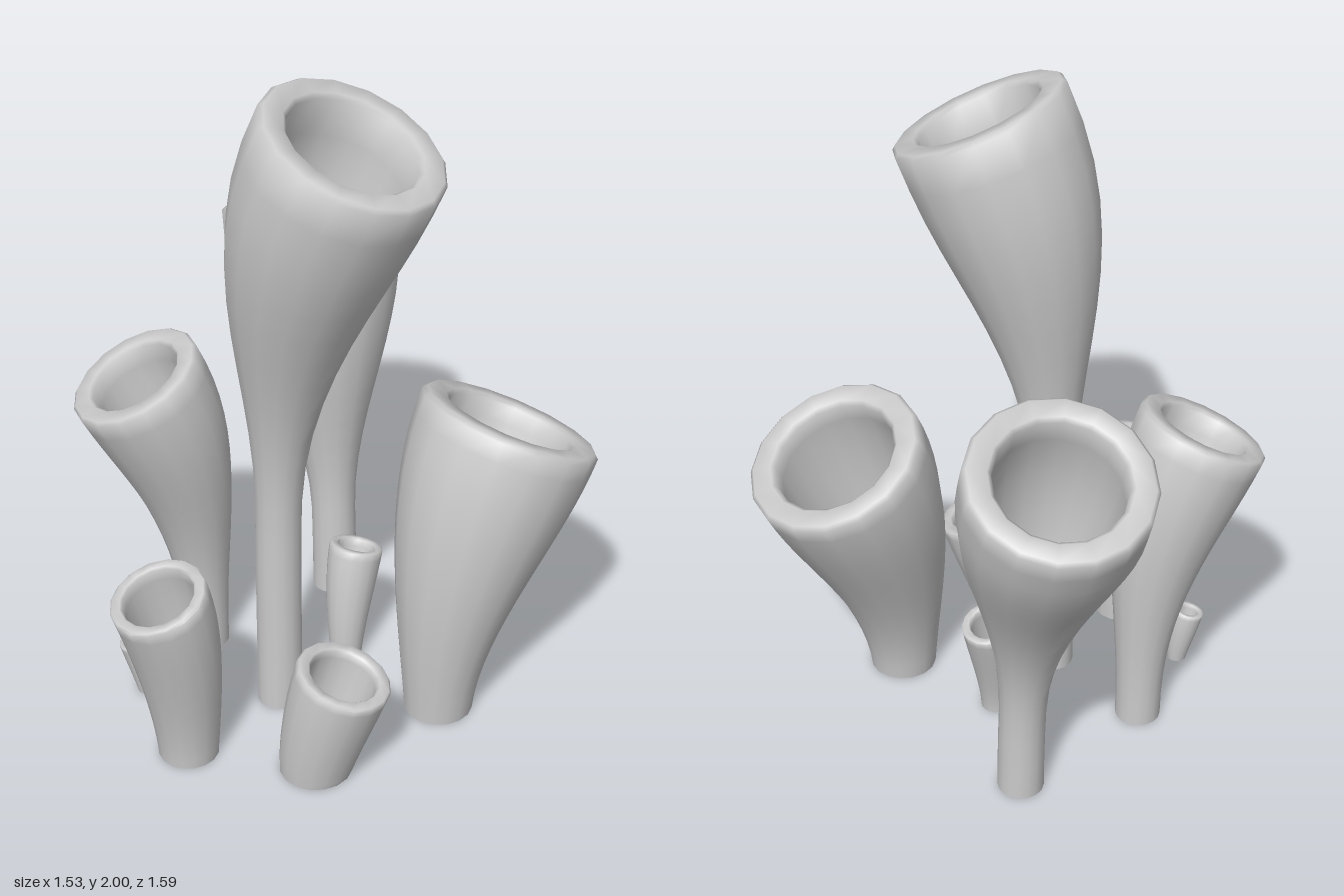
import * as THREE from 'three';
import { toCreasedNormals } from 'three/addons/utils/BufferGeometryUtils.js';

const SIDES = 16;
const STEPS = 16;

// Hollow flared tube: rises from its base, then bends so the mouth faces along `facing`
function tubeGeometry({ base, mouth, facing, lift, rBase, rMouth, inner, flare }) {
  const start = new THREE.Vector3(base[0], 0, base[1]);
  const end = new THREE.Vector3(...mouth);
  const h = end.y;
  const path = new THREE.CubicBezierCurve3(
    start,
    start.clone().setY(lift * h),
    end.clone().addScaledVector(new THREE.Vector3(...facing).normalize(), -0.33 * h),
    end
  );
  const radius = (t) => THREE.MathUtils.lerp(rBase, rMouth, THREE.MathUtils.smoothstep(t, ...flare));

  // Closed wall section as [t, radius]: up the outside, over the softened lip, down the inside
  const bevel = 0.15 * rMouth * (1 - inner);
  const lipT = 1 - bevel / h;
  const section = [];
  for (let i = 0; i <= STEPS; i++) {
    const t = (lipT * i) / STEPS;
    section.push([t, radius(t)]);
  }
  section.push([1, rMouth - bevel], [1, rMouth * inner + bevel]);
  for (let i = STEPS; i >= 0; i--) {
    const t = (lipT * i) / STEPS;
    section.push([t, radius(t) * inner]);
  }

  const positions = [];
  const index = [];
  section.forEach(([t, r], i) => {
    const c = path.getPoint(t);
    const n = path.getTangent(t);
    const u = new THREE.Vector3(1, 0, 0).addScaledVector(n, -n.x).normalize();
    const v = n.clone().cross(u);
    const next = (i + 1) % section.length;
    for (let j = 0; j < SIDES; j++) {
      const a = (j / SIDES) * Math.PI * 2;
      const p = c.clone().addScaledVector(u, r * Math.cos(a)).addScaledVector(v, r * Math.sin(a));
      positions.push(p.x, p.y, p.z);
      const k = (j + 1) % SIDES;
      const A = i * SIDES + j, B = i * SIDES + k, C = next * SIDES + k, D = next * SIDES + j;
      index.push(A, B, C, A, C, D);
    }
  });
  const geometry = new THREE.BufferGeometry();
  geometry.setAttribute('position', new THREE.Float32BufferAttribute(positions, 3));
  geometry.setIndex(index);
  return toCreasedNormals(geometry, 1.0);
}

// base is [x, z]; mouth is the centre of the opening; lift is how far the base rises straight;
// inner is the bore as a share of the radius; flare is where along the tube it widens
const TUBES = [
  { name: 'tallTube', base: [-0.14, 0.275], mouth: [0.092, 1.892, 0.348], facing: [0.44, 1, 0.13],
    lift: 0.47, rBase: 0.068, rMouth: 0.27, inner: 0.7, flare: [0.29, 0.95] },
  { name: 'backTube', base: [-0.072, -0.338], mouth: [-0.188, 1.263, -0.553], facing: [-0.17, 1, -0.43],
    lift: 0.45, rBase: 0.07, rMouth: 0.27, inner: 0.7, flare: [0.18, 0.91] },
  { name: 'leftTube', base: [0.335, 0.24], mouth: [0.507, 0.91, 0.052], facing: [0.36, 1, -0.35],
    lift: 0.33, rBase: 0.1, rMouth: 0.273, inner: 0.7, flare: [-0.08, 0.97] },
  { name: 'rightTube', base: [-0.42, 0.02], mouth: [-0.587, 0.998, 0.125], facing: [-0.45, 1, 0.22],
    lift: 0.43, rBase: 0.07, rMouth: 0.202, inner: 0.68, flare: [0.03, 1] },
  { name: 'frontRightTube', base: [-0.36, 0.567], mouth: [-0.412, 0.61, 0.655], facing: [-0.25, 1, 0.25],
    lift: 0.28, rBase: 0.086, rMouth: 0.142, inner: 0.75, flare: [-0.15, 1] },
  { name: 'frontTube', base: [0.02, 0.585], mouth: [0.105, 0.347, 0.59], facing: [0.33, 1, 0.02],
    lift: 0.15, rBase: 0.104, rMouth: 0.141, inner: 0.72, flare: [-0.15, 1] },
  { name: 'middleTube', base: [0.022, 0.035], mouth: [0.045, 0.365, -0.03], facing: [0.15, 1, -0.28],
    lift: 0.25, rBase: 0.048, rMouth: 0.082, inner: 0.68, flare: [-0.1, 1] },
  { name: 'tinyTube', base: [-0.543, 0.305], mouth: [-0.575, 0.184, 0.31], facing: [-0.24, 1, 0.1],
    lift: 0.15, rBase: 0.029, rMouth: 0.049, inner: 0.66, flare: [-0.15, 1] },
];

export function createModel() {
  const group = new THREE.Group();
  group.name = 'tubeCluster';
  const material = new THREE.MeshStandardMaterial({ color: 0xcccccc });
  for (const tube of TUBES) {
    const mesh = new THREE.Mesh(tubeGeometry(tube), material);
    mesh.name = tube.name;
    group.add(mesh);
  }
  return group;
}
